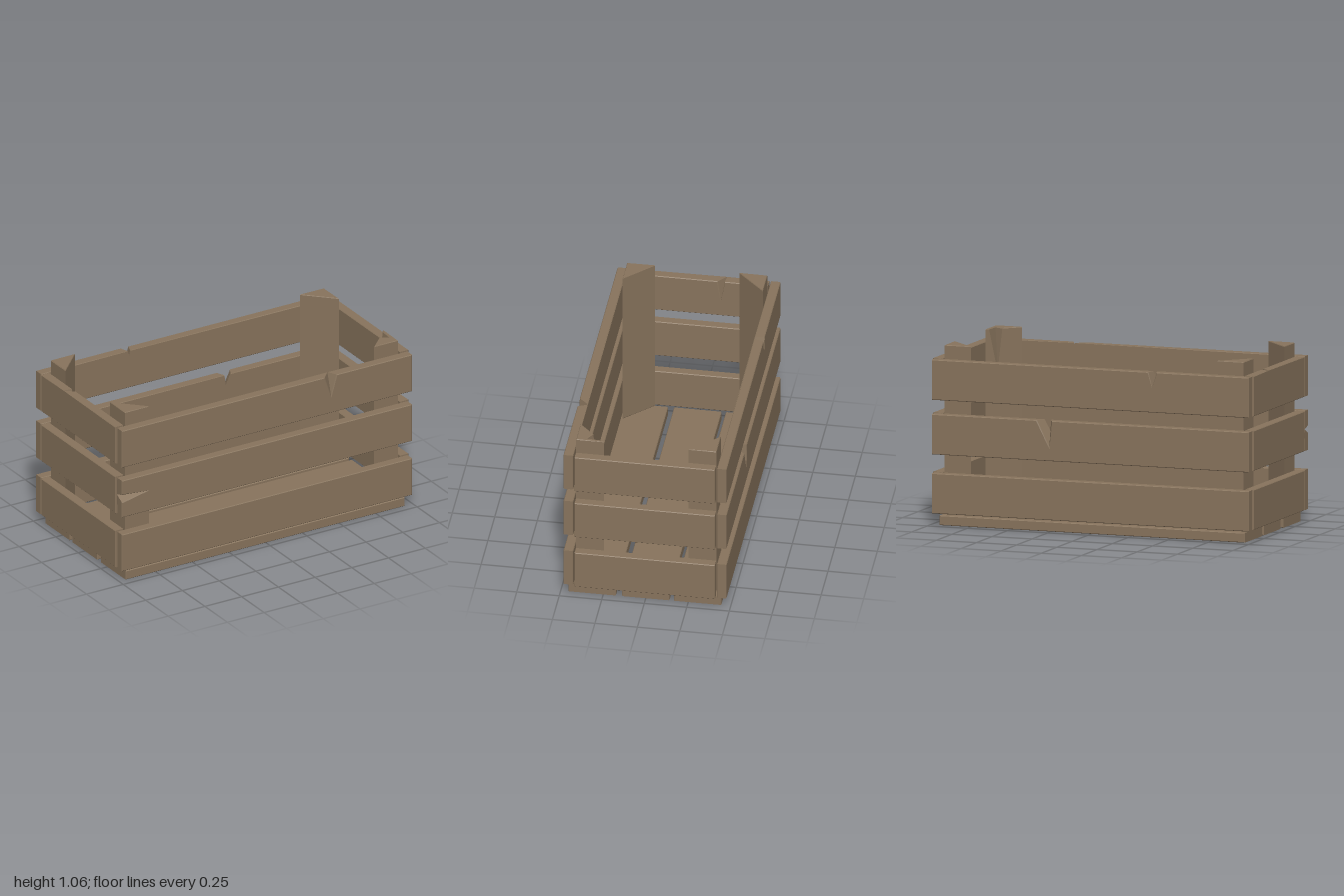
import * as THREE from 'three';

const BEVEL = 0.004;

// Extrudes an outline along z (centred) with a slim bevel. An optional chip is a V cut
// into the top edge, full size on the +z face and shrinking towards the -z face.
// chip: from, to (mouth), tip, depth (V point), k (vanishing point), end (final scale), reach
function chippedExtrude(corners, top, length, chip, steps = 1) {
  const pts = corners.map(([x, y]) => new THREE.Vector2(x, y));
  if (chip) {
    // the first two corners are the right and left ends of the top edge
    pts.splice(1, 0,
      new THREE.Vector2(chip.to, top),
      new THREE.Vector2(chip.tip, top - chip.depth),
      new THREE.Vector2(chip.from, top));
  }
  const geo = new THREE.ExtrudeGeometry(new THREE.Shape(pts), {
    depth: length - 2 * BEVEL, steps, bevelEnabled: true, bevelSegments: 1,
    bevelThickness: BEVEL, bevelSize: BEVEL, bevelOffset: -BEVEL,
  });
  geo.translate(0, 0, BEVEL - length / 2);
  if (chip) {
    const p = geo.attributes.position;
    const reach = chip.reach ?? length;
    for (let i = 0; i < p.count; i++) {
      const x = p.getX(i), y = p.getY(i);
      if (x < chip.from - 0.01 || x > chip.to + 0.01 || y < top - chip.depth - 0.02) continue;
      const t = Math.min(1, (length / 2 - p.getZ(i)) / reach);
      const s = THREE.MathUtils.lerp(1, chip.end, t);
      p.setX(i, chip.k + (x - chip.k) * s);
      p.setY(i, top + (y - top) * s);
    }
    geo.computeVertexNormals();
  }
  return geo;
}

function boardGeometry(w, h, thick, chip) {
  const a = w / 2, b = h / 2;
  return chippedExtrude([[a, b], [-a, b], [-a, -b], [a, -b]], b, thick, chip);
}

export function createModel() {
  const crate = new THREE.Group();
  crate.name = 'woodenCrate';
  const wood = new THREE.MeshStandardMaterial({ color: 0x87735c });
  wood.name = 'brown wood';

  function add(name, geo, x, y, z, turn = 0) {
    const mesh = new THREE.Mesh(geo, wood);
    mesh.name = name;
    mesh.position.set(x, y, z);
    mesh.rotation.y = turn;
    crate.add(mesh);
  }

  const rows = [0.19, 0.537, 0.857];
  const H = 0.236, T = 0.057, LONG = 1.975, SHORT = 0.825;

  // Chips, listed per row from bottom to top
  const frontChips = [null, null,
    { from: 0.392, to: 0.475, tip: 0.437, depth: 0.135, k: 0.447, end: 0.05 }];
  const backChips = [null,
    { from: -0.335, to: -0.24, tip: -0.255, depth: 0.16, k: -0.28, end: 0.4 },
    { from: 0.36, to: 0.413, tip: 0.385, depth: 0.09, k: 0.387, end: 0.3 }];
  const endChips = [null, null,
    { from: 0.115, to: 0.158, tip: 0.135, depth: 0.14, k: 0.165, end: 0.05 }];
  const splitEnd = { from: -0.022, to: 0.028, tip: 0.012, depth: 0.18, k: 0.01, end: 0.05 };

  // Side slats
  rows.forEach((y, i) => {
    const front = i === 1
      ? boardGeometry(H, LONG, T, splitEnd).rotateZ(Math.PI / 2)
      : boardGeometry(LONG, H, T, frontChips[i]);
    add('frontSlat', front, -0.0075, y, 0.45);
    add('backSlat', boardGeometry(LONG, H, T, backChips[i]), -0.0075, y, -0.452, Math.PI);
    add('leftEndSlat', boardGeometry(SHORT, H, T, null), 0.97, y, -0.002, Math.PI / 2);
    add('rightEndSlat', boardGeometry(SHORT, H, T, endChips[i]), -0.97, y, -0.002, Math.PI / 2);
  });

  // Floor boards
  for (const z of [0.315, 0, -0.305]) {
    add('floorBoard', boardGeometry(1.9, T, 0.28, null), -0.005, T / 2, z);
  }

  // Triangular corner posts, one with a long splinter missing from its inner face
  const R = 0.116, POST = 0.985;
  const postChip = {
    from: 0.01, to: 0.095, tip: 0.027, depth: 0.06, k: 0.04, end: 0.02, reach: 0.24,
  };
  for (const sx of [1, -1]) {
    for (const sz of [1, -1]) {
      const chip = sx > 0 && sz > 0 ? postChip : null;
      const geo = chippedExtrude([[R, 0], [-R, 0], [0, -R]], 0, POST, chip, chip ? 4 : 1);
      geo.rotateX(-Math.PI / 2);
      add('cornerPost', geo, sx > 0 ? 0.843 : -0.853, 0.07 + POST / 2, sz * 0.33,
        Math.atan2(sx, sz));
    }
  }
  return crate;
}
